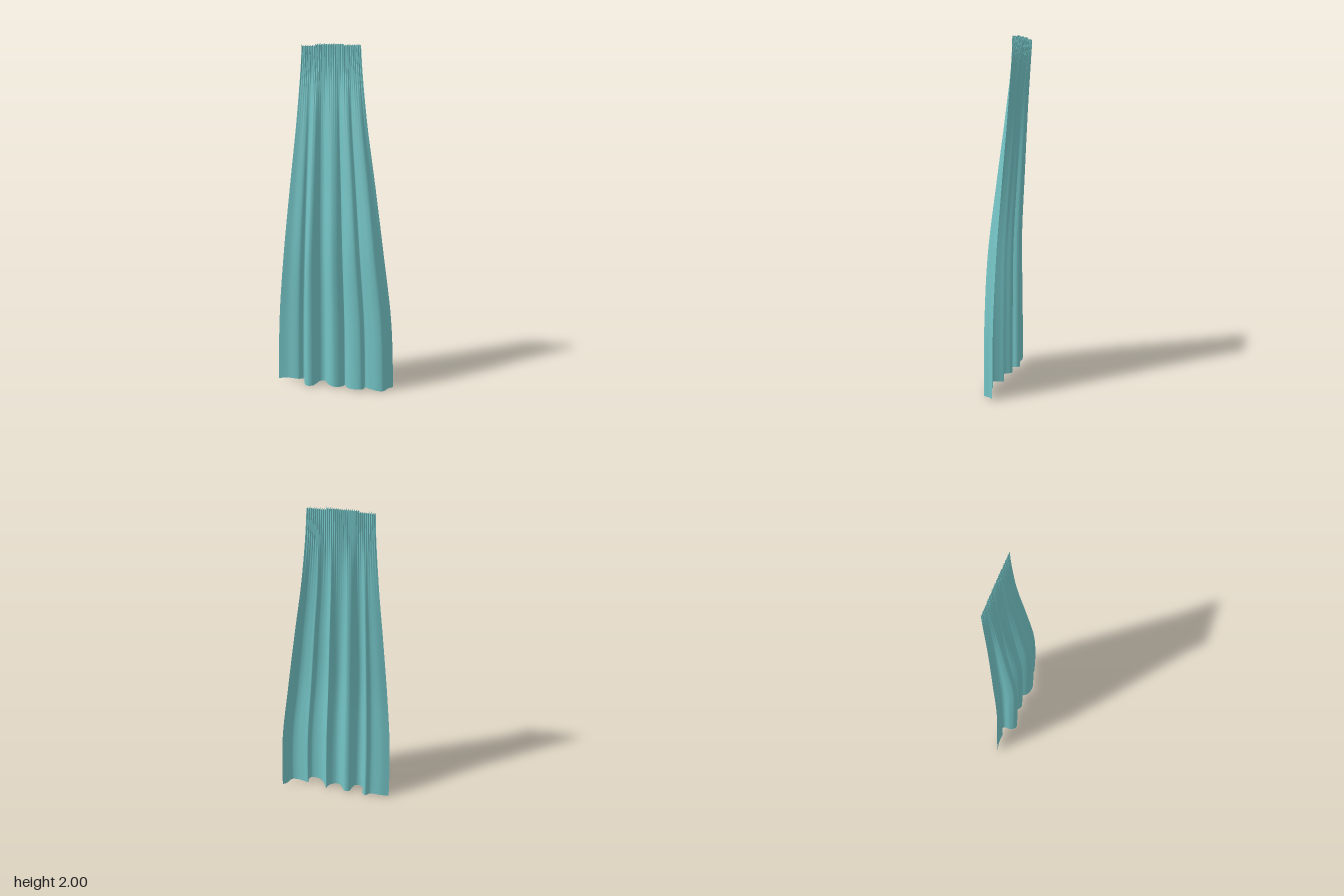
import * as THREE from 'three';

// Hem line from the right edge to the left one: [hem x, hem z, x at the gathered top]
const HEM = [
  [-0.35, 0.02, -0.22], [-0.3, 0.01, -0.2], [-0.23, 0.01, -0.178], [-0.2, -0.01, -0.165],
  [-0.183, 0.005, -0.16], [-0.18, 0.04, -0.152], [-0.165, 0.07, -0.146], [-0.143, 0.08, -0.135],
  [-0.118, 0.07, -0.123], [-0.105, 0.04, -0.113], [-0.093, 0.005, -0.1], [-0.062, 0, -0.082],
  [-0.04, 0.03, -0.07], [-0.02, 0.052, -0.057], [0.005, 0.06, -0.04], [0.038, 0.047, -0.02],
  [0.056, 0.025, -0.008], [0.06, 0.005, 0.0], [0.075, 0.032, 0.01], [0.1, 0.065, 0.02],
  [0.14, 0.08, 0.033], [0.178, 0.075, 0.046], [0.19, 0.05, 0.055], [0.187, 0.028, 0.061],
  [0.22, 0.038, 0.073], [0.27, 0.048, 0.09], [0.302, 0.04, 0.105], [0.32, 0.0, 0.118],
  [0.346, -0.025, 0.13],
];

// Smooth curve through values at equal steps of height
function profile(values) {
  const curve = new THREE.SplineCurve(values.map((v, i) => new THREE.Vector2(i, v)));
  return (t) => curve.getPoint(t).y;
}
const gatherX = profile([0, 0.07, 0.3, 0.56, 0.83, 1]);
const gatherZ = profile([0, 0, 0.05, 0.35, 0.68, 1]);

export function createModel() {
  const cols = 300, rows = 70, pleats = 34;
  const hem = new THREE.CatmullRomCurve3(HEM.map((p) => new THREE.Vector3(...p)));
  const line = hem.getSpacedPoints(cols);
  const geometry = new THREE.PlaneGeometry(1, 1, cols, rows);
  const pos = geometry.attributes.position;

  for (let r = 0; r <= rows; r++) {
    const t = 1 - r / rows;
    const a = gatherX(t), b = gatherZ(t);
    const pinch = Math.pow(t, 10); // fine pleats appear only near the heading
    for (let c = 0; c <= cols; c++) {
      const p = line[c];
      const phase = (p.z + 0.22) / 0.35 * pleats * Math.PI * 2;
      const uneven = 0.7 + 0.3 * Math.sin(phase * 0.37 + 1);
      const x = THREE.MathUtils.lerp(p.x, p.z, a) + 0.002 * pinch * Math.sin(phase * 2);
      const z = THREE.MathUtils.lerp(p.y, -0.07, b) + 0.006 * pinch * uneven * Math.sin(phase);
      // Ragged heading, slightly lower toward the sides, and a gently wavy hem
      const side = p.z < -0.14 || p.z > 0.03 ? 0.007 : 0;
      const top = 1.993 - side + 0.007 * uneven * Math.sin(phase);
      const bottom = 0.007 + 0.005 * Math.sin(c / cols * 19);
      const y = THREE.MathUtils.lerp(bottom, 1.99, t) + (top - 1.99) * Math.pow(t, 40);
      pos.setXYZ(r * (cols + 1) + c, x, y, z);
    }
  }
  geometry.computeVertexNormals();

  const cloth = new THREE.MeshStandardMaterial({ color: 0x74c4c6, side: THREE.DoubleSide });
  const curtain = new THREE.Mesh(geometry, cloth);
  curtain.name = 'curtain';
  const group = new THREE.Group();
  group.name = 'gatheredCurtain';
  group.add(curtain);
  return group;
}
